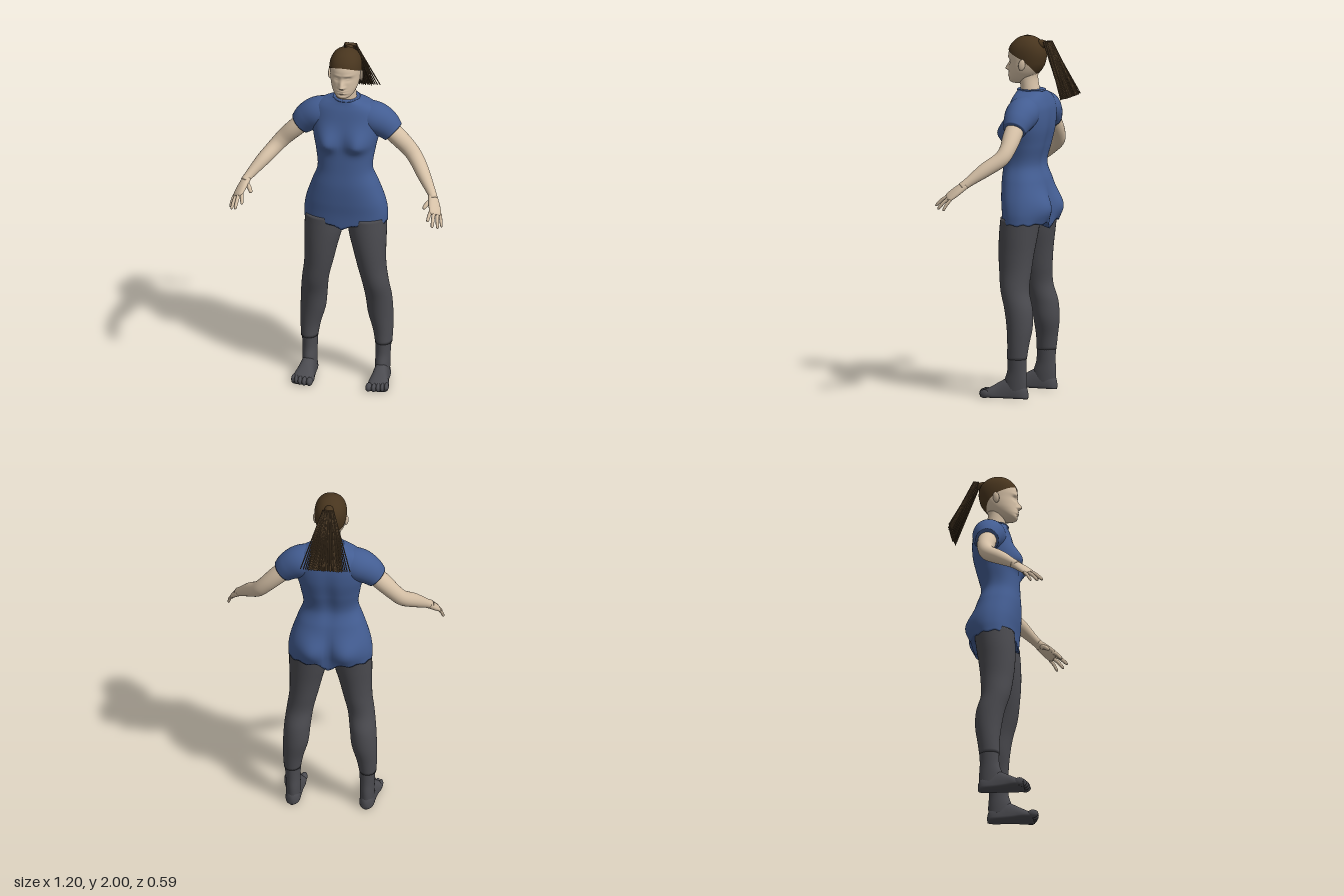
import * as THREE from 'three';

const material = (name, color) => {
  const m = new THREE.MeshStandardMaterial({ color, side: THREE.DoubleSide });
  m.name = name;
  return m;
};
const gauss = (d, s) => Math.exp(-(d * d) / (s * s));
const spow = (v, e) => Math.sign(v) * Math.pow(Math.abs(v), e);

// Smooth interpolation of key rows [key, a, b, ...] at key k
function at(rows, k) {
  let i = 0;
  while (i < rows.length - 2 && k > rows[i + 1][0]) i++;
  const p = rows[i], q = rows[i + 1], h = q[0] - p[0], f = (k - p[0]) / h;
  const slope = (j, c) => {
    const a = rows[Math.max(j - 1, 0)], b = rows[Math.min(j + 1, rows.length - 1)];
    return (b[c] - a[c]) / (b[0] - a[0]);
  };
  return p.map((v, c) => c === 0 ? k :
    (2 * f ** 3 - 3 * f * f + 1) * v + (f ** 3 - 2 * f * f + f) * h * slope(i, c) +
    (3 * f * f - 2 * f ** 3) * q[c] + (f ** 3 - f * f) * h * slope(i + 1, c));
}

// Closed-ring surface from fn(t, angle) -> [x, y, z], wound outwards, ends optionally capped
function surface(name, mat, nRows, nCols, fn, caps = true) {
  const pos = [], idx = [];
  const rings = [];
  for (let r = 0; r <= nRows; r++) {
    const ring = [];
    for (let c = 0; c < nCols; c++) ring.push(fn(r / nRows, c / nCols * Math.PI * 2));
    rings.push(ring);
  }
  if (caps) {
    const centre = ring => {
      const m = [0, 1, 2].map(k => ring.reduce((s, p) => s + p[k], 0) / nCols);
      return ring.map(() => m);
    };
    rings.unshift(centre(rings[0]));
    rings.push(centre(rings[rings.length - 1]));
  }
  rings.forEach(ring => ring.forEach(p => pos.push(...p)));
  for (let r = 0; r < rings.length - 1; r++) for (let c = 0; c < nCols; c++) {
    const a = r * nCols + c, b = r * nCols + (c + 1) % nCols;
    idx.push(a, b, a + nCols, b, b + nCols, a + nCols);
  }
  const g = new THREE.BufferGeometry();
  g.setAttribute('position', new THREE.Float32BufferAttribute(pos, 3));
  g.computeBoundingBox();
  const o = g.boundingBox.getCenter(new THREE.Vector3());
  const v = i => new THREE.Vector3(...pos.slice(i * 3, i * 3 + 3)).sub(o);
  let volume = 0;
  for (let i = 0; i < idx.length; i += 3) volume += v(idx[i]).dot(v(idx[i + 1]).cross(v(idx[i + 2])));
  if (volume < 0) idx.reverse();
  g.setIndex(idx);
  g.computeVertexNormals();
  const mesh = new THREE.Mesh(g, mat);
  mesh.name = name;
  return mesh;
}

// Point on a level ring; rows are [y, centreX, halfWidth, zFront, zBack]
function ringPoint(rows, y, a, n = 2) {
  const [, x, w, zf, zb] = at(rows, y);
  return [x + w * spow(Math.cos(a), 2 / n), y, (zf + zb) / 2 + (zf - zb) / 2 * spow(Math.sin(a), 2 / n)];
}
function column(name, mat, rows, s = 1, nRows = 40, nCols = 32, n = 2) {
  const y0 = rows[0][0], y1 = rows[rows.length - 1][0];
  return surface(name, mat, nRows, nCols, (t, a) => {
    const p = ringPoint(rows, y0 + (y1 - y0) * t, a, n);
    return [p[0] * s, p[1], p[2]];
  });
}

// Tube along rows [t, x, y, z, r1, r2]; r1 lies along the 'across' direction
function limb(name, mat, rows, s, across = [0, 0, 1], nRows = 24, nCols = 20) {
  const last = rows[rows.length - 1][0], ref = new THREE.Vector3(...across);
  const centre = k => new THREE.Vector3(...at(rows, k).slice(1, 4));
  return surface(name, mat, nRows, nCols, (t, a) => {
    const k = t * last, [, x, y, z, r1, r2] = at(rows, k);
    const d = centre(Math.min(k + 0.01, last)).sub(centre(Math.max(k - 0.01, 0))).normalize();
    const u = ref.clone().addScaledVector(d, -ref.dot(d)).normalize(), w = d.clone().cross(u);
    const p = new THREE.Vector3(x, y, z).addScaledVector(u, r1 * Math.cos(a)).addScaledVector(w, r2 * Math.sin(a));
    return [p.x * s, p.y, p.z];
  });
}
function ellipsoid(name, mat, p, r) {
  const m = new THREE.Mesh(new THREE.SphereGeometry(1, 20, 14), mat);
  m.name = name;
  m.position.set(...p);
  m.scale.set(...r);
  return m;
}

const TORSO = [
  [0.97, 0, 0.232, 0.088, -0.15], [1.03, 0, 0.232, 0.092, -0.155], [1.1, 0, 0.219, 0.1, -0.152],
  [1.2, 0, 0.185, 0.105, -0.138], [1.29, 0, 0.153, 0.1, -0.115], [1.4, 0, 0.165, 0.095, -0.14],
  [1.5, 0, 0.185, 0.085, -0.16], [1.6, 0, 0.19, 0.062, -0.16], [1.65, 0, 0.172, 0.048, -0.145],
  [1.68, 0, 0.125, 0.036, -0.13], [1.695, 0, 0.078, 0.032, -0.12], [1.705, 0, 0.07, 0.03, -0.115]];
const HEAD = [
  [1.733, 0, 0.018, 0.07, 0.01], [1.742, 0, 0.038, 0.083, -0.02], [1.76, 0, 0.056, 0.088, -0.05],
  [1.79, 0, 0.071, 0.086, -0.08], [1.82, 0, 0.079, 0.084, -0.103], [1.85, 0, 0.083, 0.083, -0.117],
  [1.9, 0, 0.085, 0.087, -0.124], [1.94, 0, 0.077, 0.073, -0.113], [1.97, 0, 0.058, 0.046, -0.088],
  [1.985, 0, 0.037, 0.02, -0.062], [1.993, 0, 0.015, -0.006, -0.036]];
const NECK = [[1.66, 0, 0.062, 0.02, -0.1], [1.72, 0, 0.057, 0.018, -0.085],
  [1.77, 0, 0.055, 0.025, -0.078], [1.82, 0, 0.055, 0.025, -0.085]];
const LEG = [
  [0.225, 0.209, 0.047, 0.012, -0.1], [0.3, 0.204, 0.056, 0.011, -0.11], [0.4, 0.19, 0.07, 0.02, -0.125],
  [0.5, 0.182, 0.073, 0.037, -0.121], [0.6, 0.169, 0.074, 0.065, -0.096], [0.7, 0.15, 0.08, 0.08, -0.1],
  [0.8, 0.137, 0.091, 0.089, -0.11], [0.9, 0.125, 0.105, 0.09, -0.125], [1.0, 0.116, 0.112, 0.084, -0.14]];
const ANKLE = [[0.04, 0.205, 0.04, 0.03, -0.1], [0.1, 0.205, 0.041, 0.03, -0.102],
  [0.16, 0.206, 0.041, 0.012, -0.098], [0.26, 0.207, 0.047, 0.009, -0.1]];
// Foot rows: [z, centreX, halfWidth, top]
const FOOT = [[-0.106, 0.205, 0.012, 0.05], [-0.098, 0.205, 0.027, 0.07], [-0.07, 0.205, 0.039, 0.09],
  [0, 0.206, 0.044, 0.118], [0.05, 0.208, 0.05, 0.098], [0.1, 0.211, 0.06, 0.068], [0.15, 0.212, 0.058, 0.042]];
const SLEEVE = [[0, 0.07, 1.595, -0.05, 0.085, 0.085], [1, 0.155, 1.58, -0.052, 0.092, 0.092],
  [2, 0.215, 1.548, -0.052, 0.08, 0.084], [3, 0.262, 1.505, -0.05, 0.063, 0.065]];
const ARM = [[0, 0.2, 1.555, -0.05, 0.05, 0.05], [1, 0.29, 1.475, -0.05, 0.052, 0.05],
  [2, 0.355, 1.41, -0.048, 0.044, 0.045], [3, 0.4, 1.36, -0.025, 0.043, 0.042],
  [4, 0.455, 1.305, 0.045, 0.04, 0.037], [5, 0.51, 1.245, 0.115, 0.027, 0.026], [6, 0.535, 1.215, 0.15, 0.026, 0.022]];
const ACROSS = [0.75, -0.45, -0.48];
const PALM = [[0, 0.522, 1.23, 0.13, 0.025, 0.022], [1, 0.541, 1.195, 0.173, 0.036, 0.019],
  [2, 0.556, 1.163, 0.212, 0.038, 0.015], [3, 0.56, 1.152, 0.224, 0.03, 0.01]];
// Fingers: base, tip, radius
const FINGERS = [
  ['thumb', [0.52, 1.205, 0.155], [0.485, 1.172, 0.2], 0.013],
  ['indexFinger', [0.535, 1.177, 0.214], [0.523, 1.128, 0.268], 0.0105],
  ['middleFinger', [0.55, 1.167, 0.218], [0.556, 1.108, 0.296], 0.0105],
  ['ringFinger', [0.566, 1.156, 0.21], [0.582, 1.094, 0.272], 0.01],
  ['littleFinger', [0.58, 1.148, 0.196], [0.597, 1.088, 0.235], 0.009]];

export function createModel() {
  const shirt = material('shirt blue', 0x435d92), leggings = material('leggings grey', 0x4b4b50);
  const skin = material('skin', 0xd5c0a6), hair = material('hair dark brown', 0x48351e);
  const tail = material('ponytail brown', 0x4f3d28);
  const model = new THREE.Group();
  model.name = 'woman';

  // Shirt body with chest and seat shaping, and a rippled hem
  model.add(surface('shirtBody', shirt, 70, 80, (t, a) => {
    const p = ringPoint(TORSO, 0.97 + 0.735 * t, a, 2.35), s = Math.sin(a), ax = Math.abs(p[0]);
    if (s > 0) p[2] += 0.045 * gauss(ax - 0.09, 0.06) * gauss(p[1] - 1.46, p[1] < 1.46 ? 0.045 : 0.075) * Math.min(1, s * 2);
    else p[2] -= (0.045 * gauss(ax - 0.1, 0.085) - 0.012 * gauss(ax, 0.025)) * gauss(p[1] - 1.05, 0.085) * Math.min(1, -s * 2);
    // Spine groove
    if (s < 0) p[2] += 0.014 * gauss(ax, 0.04) * gauss(p[1] - 1.38, 0.17);
    const hem = gauss(t, 0.03);
    p[1] += hem * (0.005 * Math.sin(a * 13) - 0.035 * gauss(p[0], 0.035));
    return p;
  }));
  const collar = new THREE.Mesh(new THREE.TorusGeometry(0.07, 0.006, 8, 40), shirt);
  collar.name = 'collar';
  collar.rotation.x = Math.PI / 2;
  collar.position.set(0, 1.7, -0.043);
  collar.scale.y = 1.06;
  model.add(collar, column('neck', skin, NECK, 1, 12));

  // Head with sockets, brow, nose, lips and chin
  model.add(surface('head', skin, 90, 96, (t, a) => {
    const p = ringPoint(HEAD, 1.733 + 0.26 * t, a, 2.15), [x, y] = p, ax = Math.abs(x);
    if (Math.sin(a) > 0) {
      p[2] += 0.026 * gauss(x, 0.013) * gauss(y - 1.812, y < 1.812 ? 0.011 : 0.032)
        + 0.008 * gauss(ax - 0.012, 0.01) * gauss(y - 1.808, 0.009)
        - 0.011 * gauss(ax - 0.033, 0.018) * gauss(y - 1.856, 0.013)
        + 0.005 * gauss(ax - 0.033, 0.013) * gauss(y - 1.854, 0.007)
        + 0.004 * gauss(ax - 0.03, 0.03) * gauss(y - 1.878, 0.009)
        + 0.007 * gauss(x, 0.023) * (gauss(y - 1.788, 0.006) + gauss(y - 1.774, 0.006))
        - 0.005 * gauss(x, 0.03) * gauss(y - 1.762, 0.006);
    }
    return p;
  }));

  // Hair cap following the hairline
  model.add(surface('hairCap', hair, 30, 64, (t, a) => {
    const s = Math.sin(a), line = 1.875 + (s > 0 ? 0.05 : 0.085) * s;
    const p = ringPoint(HEAD, line + (1.993 - line) * t, a, 2.15), k = 1.045;
    return [p[0] * k, p[1] + 0.007 * t, -0.02 + (p[2] + 0.02) * k];
  }, false));
  model.add(ellipsoid('hairCrown', hair, [0, 1.995, -0.021], [0.022, 0.005, 0.022]));
  model.add(ellipsoid('hairKnot', hair, [0, 1.955, -0.1], [0.027, 0.025, 0.045]));

  // Ponytail: a fan of straight strands, dense in the middle
  const ponytail = new THREE.Group();
  ponytail.name = 'ponytail';
  const strand = (u, w, depth) => {
    const a = new THREE.Vector3(u * 0.03, 1.972, -0.128 - depth);
    const b = new THREE.Vector3(w, 1.672, -0.262 - depth);
    const m = new THREE.Mesh(new THREE.CylinderGeometry(0.0045, 0.003, a.distanceTo(b), 5), tail);
    m.name = 'strand';
    m.position.copy(a).lerp(b, 0.5);
    m.quaternion.setFromUnitVectors(new THREE.Vector3(0, 1, 0), a.clone().sub(b).normalize());
    ponytail.add(m);
  };
  for (let i = 0; i <= 44; i++) {
    const u = i / 22 - 1;
    strand(u, u * 0.092, 0.012 + 0.012 * Math.sin(i * 2.4));
    strand(u, u * 0.092, 0.018 + 0.006 * Math.cos(i * 1.7));
  }
  for (const s of [-1, 1]) for (const w of [0.1, 0.11, 0.122, 0.138]) strand(s, s * w, 0.015);
  model.add(ponytail);

  for (const s of [1, -1]) {
    const side = s > 0 ? 'left' : 'right';
    const ear = ellipsoid(side + 'Ear', skin, [s * 0.088, 1.845, -0.022], [0.009, 0.032, 0.019]);
    ear.rotation.set(-0.2, s * 0.35, 0);
    model.add(ear);

    // Sleeve, arm and hand
    model.add(limb(side + 'Sleeve', shirt, SLEEVE, s, [0, 0, 1], 24, 32));
    model.add(limb(side + 'Arm', skin, ARM, s, [0, 0.3, 1], 36, 24));
    model.add(limb(side + 'Palm', skin, PALM, s, ACROSS, 16, 20));
    for (const [name, a, b, r] of FINGERS) {
      const mix = f => a.map((v, i) => v + (b[i] - v) * f);
      const bend = mix(0.5);
      bend[1] += 0.006;
      model.add(limb(side + ' ' + name, skin, [[0, ...a, r, r], [1, ...bend, r * 0.95, r * 0.95],
        [1.8, ...mix(0.92), r * 0.75, r * 0.75], [2, ...b, r * 0.25, r * 0.25]], s, ACROSS, 14, 10));
    }

    // Leg, ankle, foot and toes
    model.add(column(side + 'Leg', leggings, LEG, s, 50, 36));
    model.add(column(side + 'Ankle', leggings, ANKLE, s, 16, 28));
    model.add(surface(side + 'Foot', leggings, 28, 28, (t, a) => {
      const [z, x, w, top] = at(FOOT, -0.106 + 0.256 * t), c = Math.sin(a);
      return [s * (x + w * spow(Math.cos(a), 0.8)), 0.022 + (c > 0 ? (top - 0.022) * c : 0.018 * spow(c, 0.6)), z];
    }));
    for (let i = 0; i < 5; i++) {
      const r = i === 0 ? 0.018 : 0.0145 - i * 0.0006;
      const x = [0.167, 0.196, 0.22, 0.242, 0.262][i], z = [0.15, 0.152, 0.147, 0.139, 0.128][i];
      model.add(ellipsoid(side + 'Toe', leggings, [s * x, 0.028, z], [r, 0.024, i === 0 ? 0.031 : 0.028]));
    }
  }
  return model;
}
